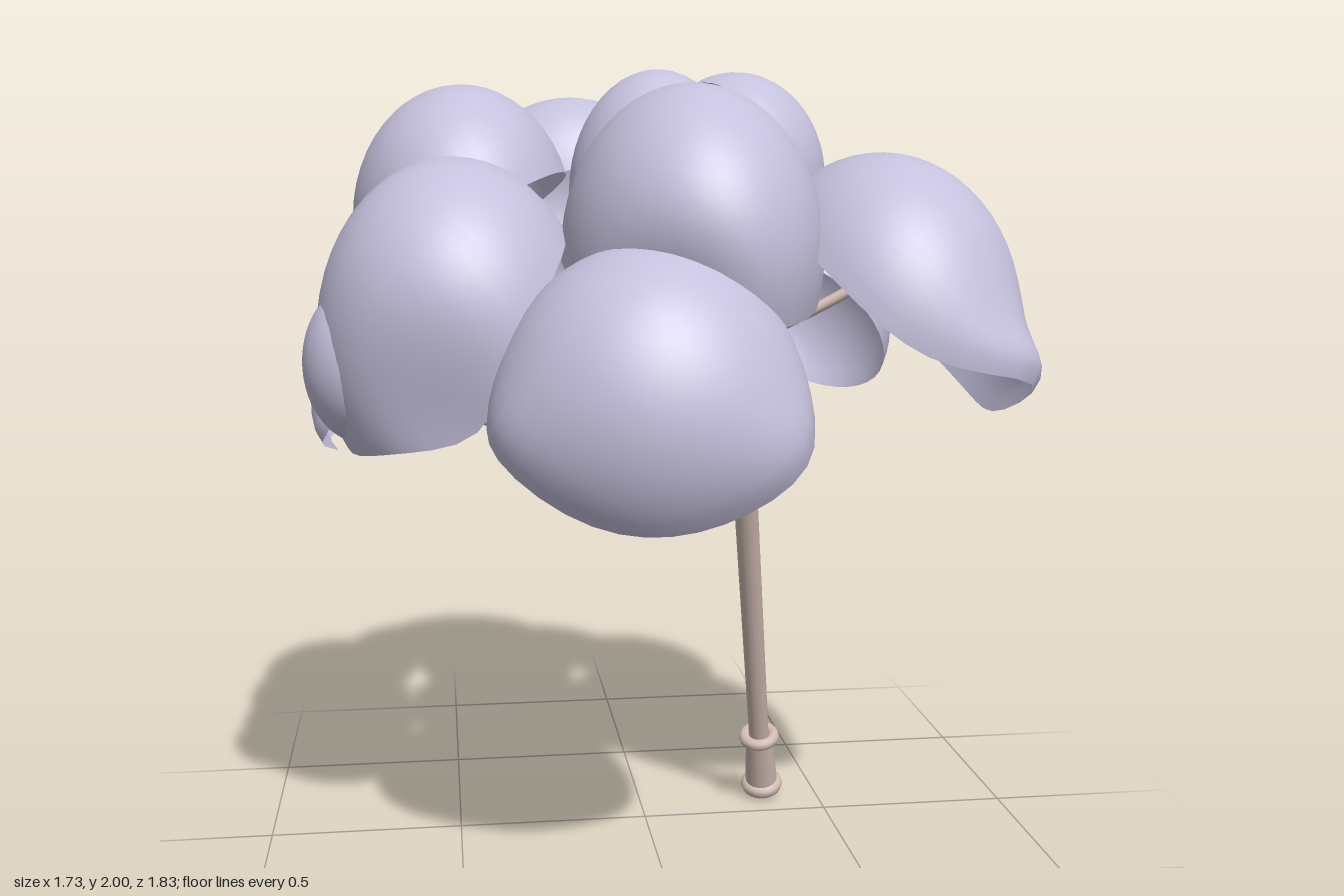
import * as THREE from 'three';

const V = (a) => new THREE.Vector3(...a);
const UP = new THREE.Vector3(0, 1, 0);
const HUB = V([0.18, 1.33, 0.34]);
const FOOT = V([0.35, 0.02, -0.125]);
// Canopy petals face away from this point
const CORE = V([0, 0.7, 0.1]);

// Petals by tier: name, ellipsoid centre, radii, drawn-out tips
const CROWN = [
  ['topPetal', [0.04, 1.68, -0.06], [0.23, 0.32, 0.22]],
  ['upperBackPetal', [-0.16, 1.66, -0.36], [0.29, 0.28, 0.22]],
  ['upperSidePetal', [-0.46, 1.62, -0.07], [0.28, 0.34, 0.36], [-0.62, 1.5, -0.4]],
  ['upperFrontPetal', [0.07, 1.55, 0.32], [0.31, 0.4, 0.41], [0, 1.43, 0.62]],
];
const SKIRT = [
  ['middleSidePetal', [-0.49, 1.35, 0.24], [0.33, 0.43, 0.4], [-0.45, 1.17, 0.56]],
  ['lowerFrontPetal', [-0.06, 1.22, 0.56], [0.35, 0.37, 0.36], [-0.41, 1.13, 0.7], [0.25, 1.12, 0.8]],
  ['broadPetal', [0.54, 1.4, 0.28], [0.33, 0.39, 0.42], [0.8, 1.27, 0.66]],
  ['middleBackPetal', [0.45, 1.33, -0.28], [0.27, 0.31, 0.32]],
  ['lowerBackPetal', [0.2, 1.35, -0.46], [0.23, 0.27, 0.29], [0.33, 1.09, -0.66]],
  ['lowerSidePetal', [-0.52, 1.22, -0.18], [0.34, 0.33, 0.37], [-0.82, 1.02, -0.43], [-0.8, 1.13, 0.25]],
];

// Open cap of an ellipsoid, with its rim drawn out smoothly to the tip points
function petalGeometry(centre, radii, facing, opening, tips) {
  const RINGS = 14, SIDES = 40;
  const turn = new THREE.Quaternion().setFromUnitVectors(UP, facing);
  const pts = [];
  for (let i = 0; i <= RINGS; i++) {
    const phi = (i / RINGS) * THREE.MathUtils.degToRad(opening);
    for (let j = 0; j < (i ? SIDES : 1); j++) {
      const theta = (j / SIDES) * Math.PI * 2;
      pts.push(new THREE.Vector3().setFromSphericalCoords(1, phi, theta)
        .applyQuaternion(turn).multiply(radii).add(centre));
    }
  }
  for (const tip of tips) {
    const rim = pts.slice(-SIDES).reduce((p, q) => (q.distanceTo(tip) < p.distanceTo(tip) ? q : p)).clone();
    const pull = tip.clone().sub(rim);
    for (const p of pts) p.addScaledVector(pull, Math.exp(-p.distanceToSquared(rim) / 0.03));
  }
  const index = [];
  const id = (i, j) => (i ? 1 + (i - 1) * SIDES + (j % SIDES) : 0);
  for (let i = 0; i < RINGS; i++) {
    for (let j = 0; j < SIDES; j++) {
      index.push(id(i, j), id(i + 1, j), id(i + 1, j + 1));
      if (i) index.push(id(i, j), id(i + 1, j + 1), id(i, j + 1));
    }
  }
  const geo = new THREE.BufferGeometry().setFromPoints(pts);
  geo.setIndex(index);
  geo.computeVertexNormals();
  return geo;
}

export function createModel() {
  const model = new THREE.Group();
  model.name = 'petalParasol';
  const lavender = new THREE.MeshStandardMaterial({ color: 0xc5c1dd, side: THREE.DoubleSide });
  lavender.name = 'lavender petal';
  const wood = new THREE.MeshStandardMaterial({ color: 0xd0bab1 });
  wood.name = 'pale wood';

  const add = (name, geo, mat, parent = model) => {
    const mesh = new THREE.Mesh(geo, mat);
    mesh.name = name;
    parent.add(mesh);
    return mesh;
  };
  const rib = (...points) => add('rib',
    new THREE.TubeGeometry(new THREE.CatmullRomCurve3(points), 20, 0.014, 8), wood);
  const petal = (name, centre, radii, facing, opening, tips = []) =>
    add(name, petalGeometry(centre, radii, facing.normalize(), opening, tips), lavender);

  // A petal facing away from the core, carried by a sagging rib
  const canopyPetal = (opening) => ([name, c, r, ...tips]) => {
    const centre = V(c), radii = V(r), facing = centre.clone().sub(CORE);
    petal(name, centre, radii, facing, opening, tips.map(V));
    const end = facing.clone().multiply(radii).multiplyScalar(0.9).add(centre);
    const middle = HUB.clone().lerp(end, 0.55);
    middle.y -= 0.04;
    rib(HUB, middle, end);
  };
  CROWN.forEach(canopyPetal(97));
  SKIRT.forEach(canopyPetal(89));

  // Petal curling open beside the top, and a small one tucked under the side
  petal('curledPetal', V([0.26, 1.72, -0.16]), V([0.24, 0.28, 0.26]), V([0.7, 0.5, -0.35]), 84);
  petal('smallSidePetal', V([-0.71, 1.3, 0.31]), V([0.14, 0.19, 0.16]), V([-1, 0.3, 0.5]), 88);
  rib(HUB, V([0.25, 1.5, 0.05]), V([0.4, 1.82, -0.22]));
  rib(HUB, V([-0.31, 1.14, 0.3]), V([-0.78, 1.32, 0.34]));
  add('ribKnob', new THREE.SphereGeometry(0.03, 14, 10), wood).position.set(-0.31, 1.13, 0.3);

  // Two shallow petals hanging upright at the back, on a bent stalk
  const sideTips = [-1, 1].map((s) => V([-0.1 + s * 0.3, 1.2, -0.66]));
  petal('hangingPetal', V([-0.1, 1.38, -0.6]), V([0.32, 0.31, 0.32]), V([0, 0.1, -1]), 62,
    [V([-0.12, 1.69, -0.64]), ...sideTips]);
  petal('lowestPetal', V([-0.09, 1, -0.6]), V([0.32, 0.27, 0.28]), V([0, -0.1, -1]), 62,
    [V([-0.07, 0.73, -0.64])]);
  const fork = V([-0.31, 1.28, -0.6]);
  rib(HUB, V([-0.2, 1.28, -0.3]), fork, V([-0.27, 1.36, -0.82]));
  rib(fork, V([-0.24, 1.16, -0.72]), V([-0.12, 1.05, -0.86]));

  // Leaning pole, built along +y from its foot
  const axis = HUB.clone().sub(FOOT), length = axis.length();
  const pole = new THREE.Group();
  pole.name = 'pole';
  pole.position.copy(FOOT);
  pole.quaternion.setFromUnitVectors(UP, axis.normalize());
  model.add(pole);

  add('shaft', new THREE.CylinderGeometry(0.032, 0.027, length - 0.16, 14), wood, pole)
    .position.y = (length + 0.16) / 2;
  add('handle', new THREE.CylinderGeometry(0.036, 0.046, 0.19, 18), wood, pole).position.y = 0.095;
  for (const [y, tube] of [[0.02, 0.018], [0.19, 0.016]]) {
    const ring = add('handleRing', new THREE.TorusGeometry(0.04, tube, 10, 24), wood, pole);
    ring.rotation.x = Math.PI / 2;
    ring.position.y = y;
  }

  // Hub: collar and a ring of joint beads
  const collar = [[0.03, -0.11], [0.058, -0.1], [0.066, -0.05], [0.06, -0.01], [0.03, 0.03], [0, 0.04]];
  add('hubCollar', new THREE.LatheGeometry(collar.map(([x, y]) => new THREE.Vector2(x, y)), 20), wood, pole)
    .position.y = length;
  for (let i = 0; i < 8; i++) {
    const t = (i / 8) * Math.PI * 2;
    add('hubBead', new THREE.SphereGeometry(0.036, 14, 10), wood, pole)
      .position.set(0.075 * Math.cos(t), length + 0.01, 0.075 * Math.sin(t));
  }

  return model;
}
